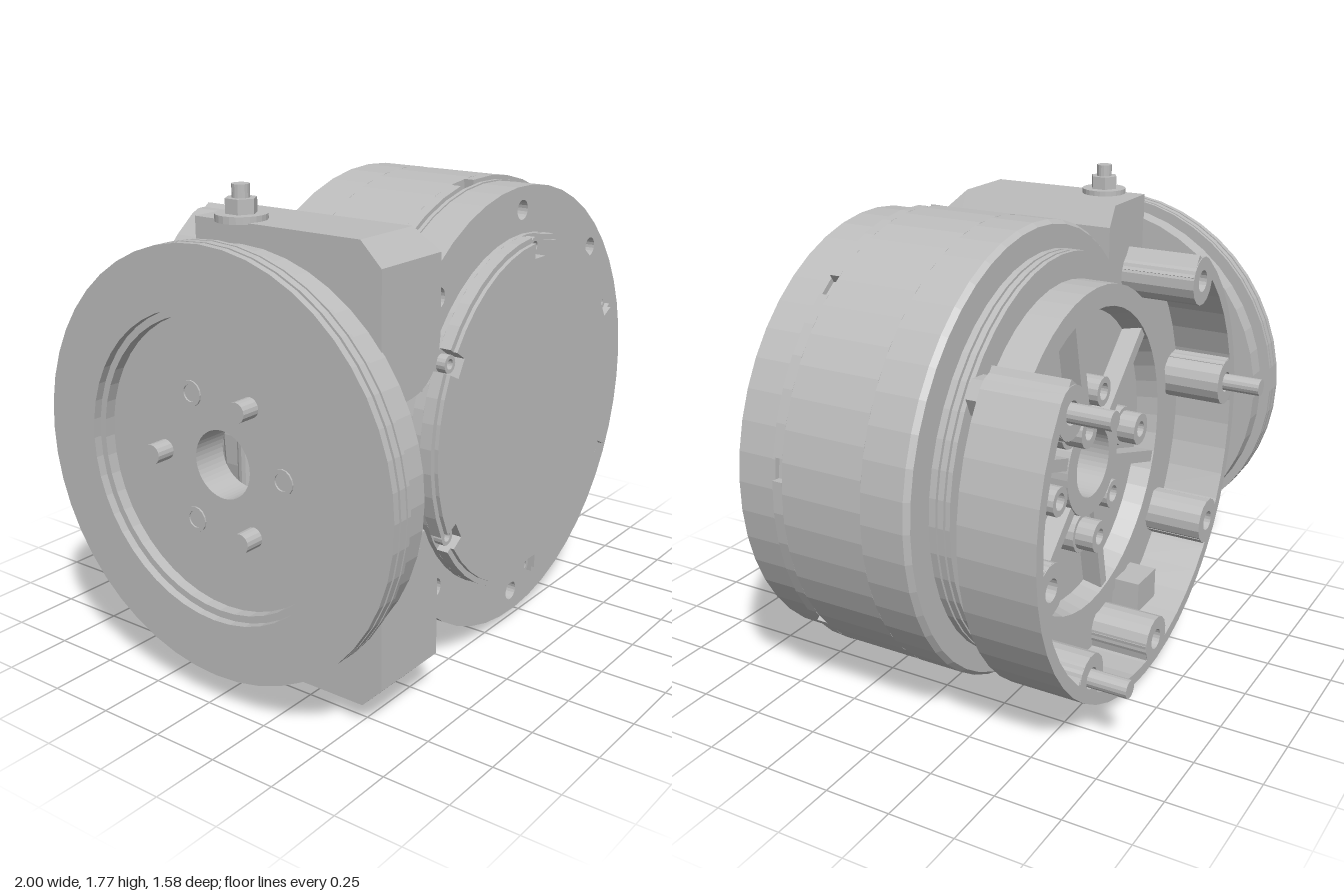
import * as THREE from 'three';

const D = Math.PI / 180;
const steel = new THREE.MeshStandardMaterial({ color: 0xbdbdbd, flatShading: true });
steel.name = 'steel grey';

const polar = (r, deg) => new THREE.Vector2(r * Math.cos(deg * D), r * Math.sin(deg * D));

function add(parent, geo, name) {
  const m = new THREE.Mesh(geo, steel);
  m.name = name;
  parent.add(m);
  return m;
}

// Disc outline with sectors cut down to a smaller radius; cuts are [from, to, radius]
function outline(R, cuts = [], step = 7.5) {
  const pts = [];
  const arc = (r, a, b) => {
    const n = Math.max(1, Math.round((b - a) / step));
    for (let i = 0; i <= n; i++) pts.push(polar(r, a + ((b - a) * i) / n));
  };
  const sorted = [...cuts].sort((p, q) => p[0] - q[0]);
  if (!sorted.length) {
    for (let a = 0; a < 360; a += step) pts.push(polar(R, a));
  }
  sorted.forEach(([a, b, r], i) => {
    arc(r, a, b);
    const next = i + 1 < sorted.length ? sorted[i + 1][0] : sorted[0][0] + 360;
    arc(R, b, next);
  });
  return new THREE.Shape(pts);
}

// Ring sector between two radii
function sector(r0, r1, a, b) {
  const pts = [], n = Math.round((b - a) / 7.5);
  for (let i = 0; i <= n; i++) pts.push(polar(r1, a + ((b - a) * i) / n));
  for (let i = n; i >= 0; i--) pts.push(polar(r0, a + ((b - a) * i) / n));
  return new THREE.Shape(pts);
}

function punch(shape, p, rx, ry = rx, rot = 0) {
  const h = new THREE.Path();
  h.absellipse(p.x, p.y, rx, ry, 0, Math.PI * 2, true, rot);
  shape.holes.push(h);
  return shape;
}

// Extrude a shape from z0 to z1
function slab(shape, z0, z1) {
  const g = new THREE.ExtrudeGeometry(shape, { depth: z1 - z0, bevelEnabled: false, curveSegments: 10 });
  return g.translate(0, 0, z0);
}

// Lathe of [radius, height] pairs
const lathe = (pts) => new THREE.LatheGeometry(pts.map((p) => new THREE.Vector2(p[0], p[1])), 48);

// Cylinder along z from z0 to z1
function rod(r, z0, z1, sides = 16) {
  return new THREE.CylinderGeometry(r, r, z1 - z0, sides).rotateX(Math.PI / 2).translate(0, 0, (z0 + z1) / 2);
}

function tube(ro, ri, z0, z1) {
  return slab(punch(outline(ro, [], 22.5), new THREE.Vector2(), ri), z0, z1);
}

function buildDrum(root) {
  const g = new THREE.Group();
  g.name = 'drum';
  g.position.set(0.15, 0.87, 0);
  root.add(g);
  const gap = [160, 205, 0.655];
  const marks = [8, 53, 98, 143, 233, 278, 323].map((a) => [a - 2.8, a + 2.8, 0.815]);

  add(g, lathe([[0, 0], [0.85, 0], [0.85, 0.165], [0.835, 0.185], [0, 0.185]]).rotateX(-Math.PI / 2), 'drumBack');
  add(g, slab(outline(0.85, [gap]), 0, 0.32), 'drumShell');
  add(g, slab(outline(0.85, [gap, ...marks]), 0.32, 0.36), 'drumNotchedEdge');
  add(g, slab(outline(0.835, [gap]), 0.36, 0.375), 'drumEdge');
  const rim = outline(0.83, [gap]);
  for (let a = 0; a < 360; a += 45) if (a !== 180) punch(rim, polar(0.745, a), 0.036);
  add(g, slab(rim, 0.375, 0.52), 'frontFlange');

  // Pocket floor with slots on the hinge side
  const floor = sector(0.64, 0.84, 160, 205);
  punch(floor, new THREE.Vector2(-0.745, 0.04), 0.058, 0.075);
  punch(floor, polar(0.755, 197.5), 0.058, 0.075, 0.9);
  punch(floor, new THREE.Vector2(-0.72, 0.19), 0.03);
  punch(floor, polar(0.785, 188), 0.035);
  add(g, slab(floor, 0, 0.06), 'pocketFloor');

  // Cover with six notched screws
  const notches = [30, 90, 150, 210, 270, 330];
  const cuts = notches.map((a) => [a - 3.5, a + 3.5, 0.585]);
  add(g, slab(outline(0.66), 0.5, 0.54), 'coverBase');
  add(g, slab(outline(0.66, cuts), 0.54, 0.585), 'cover');
  add(g, slab(outline(0.64, cuts), 0.585, 0.6), 'coverFace');
  for (const a of notches) {
    const p = polar(0.622, a);
    add(g, tube(0.032, 0.018, 0.53, 0.575), 'coverScrew').position.set(p.x, p.y, 0);
  }
  return g;
}

function buildRear(g) {
  // Grooved flange
  add(g, lathe([[0, 0.18], [0.72, 0.18], [0.72, 0.2], [0.75, 0.2], [0.75, 0.225], [0.72, 0.225], [0.72, 0.233],
    [0.75, 0.233], [0.75, 0.255], [0.72, 0.255], [0.72, 0.263], [0.75, 0.263], [0.75, 0.28], [0, 0.28]])
    .rotateX(-Math.PI / 2), 'rearFlange');
  // Hub dish
  add(g, lathe([[0.13, 0.28], [0.65, 0.28], [0.65, 0.42], [0.57, 0.42], [0.55, 0.34], [0.2, 0.34], [0.2, 0.42],
    [0.13, 0.42], [0.13, 0.28]]).rotateX(-Math.PI / 2), 'hubDish');
  for (let i = 0; i < 6; i++) {
    const a = 17 + i * 60, p = polar(0.375, a);
    const rib = add(g, new THREE.BoxGeometry(0.38, 0.045, 0.08), 'hubRib');
    rib.position.set(p.x, p.y, -0.375);
    rib.rotation.z = a * D;
    const q = polar(0.26, 47 + i * 60);
    if (i % 2 === 0) add(g, tube(0.06, 0.03, -0.49, -0.41), 'hubBolt').position.set(q.x, q.y, 0);
    add(g, i % 2 ? tube(0.055, 0.032, -0.42, -0.33) : rod(0.075, -0.42, -0.33), 'hubBoss').position.set(q.x, q.y, 0);
  }
  // Partial outer wall, open at the top
  add(g, slab(sector(0.785, 0.83, 125, 395), -0.64, -0.355), 'rearWall');
  add(g, slab(sector(0.62, 0.83, 125, 395), -0.41, -0.355), 'rearWallFloor');
  for (const a of [35, 125, 170, 215, 260, 305, 350]) {
    const p = polar(0.74, a), bolted = [35, 170, 305].includes(a);
    const lug = new THREE.Group();
    lug.name = 'lug';
    lug.position.set(p.x, p.y, 0);
    lug.rotation.z = a * D;
    g.add(lug);
    add(lug, tube(0.09, 0.04, -0.64, -0.355), 'lugBoss');
    for (const s of [-1, 1]) {
      // Short webs tie the boss to the wall and floor
      add(lug, new THREE.BoxGeometry(0.09, 0.045, 0.28).translate(0.02, s * 0.065, -0.497), 'lugWeb');
    }
    if (bolted) {
      add(lug, rod(0.033, -0.785, -0.35), 'lugStud');
      add(lug, rod(0.07, -0.357, -0.3, 6), 'lugBoltHead');
    }
  }
  add(g, new THREE.BoxGeometry(0.16, 0.12, 0.12).translate(-0.3, -0.63, -0.46), 'wallPad');
}

function buildBrackets(root) {
  for (const s of [1, -1]) {
    const name = s > 0 ? 'upperBracket' : 'lowerBracket';
    const Y = (y) => 0.87 + s * y;
    const sh = new THREE.Shape();
    sh.moveTo(-0.805, Y(0.79));
    sh.lineTo(-0.53, Y(0.79));
    sh.lineTo(-0.485, Y(0.71));
    sh.lineTo(-0.485, Y(0.46));
    sh.quadraticCurveTo(-0.485, Y(0.265), -0.68, Y(0.26));
    sh.quadraticCurveTo(-0.71, Y(0.21), -0.805, Y(0.205));
    sh.closePath();
    add(root, slab(sh, -0.16, 0.52), name);
    // Sloping nose
    const nose = slab(sh, 0.52, 0.6), p = nose.attributes.position;
    for (let i = 0; i < p.count; i++) {
      const d = s * (p.getY(i) - 0.87);
      if (p.getZ(i) > 0.59 && d > 0.71) p.setY(i, Y(0.71));
    }
    add(root, nose, name + 'Nose');
    // Fillet web joining the bracket to the drum
    const web = new THREE.Shape();
    web.moveTo(-0.5, Y(0.6));
    web.quadraticCurveTo(-0.45, Y(0.61), -0.37, Y(0.67));
    web.lineTo(-0.3, Y(0.5));
    web.lineTo(-0.5, Y(0.4));
    add(root, slab(web, -0.12, 0.5), name + 'Fillet');
  }
  // Hinge hardware, as [radius, bottom, top, sides]
  const stack = (list, name) => list.forEach(([r, a, b, n]) =>
    add(root, new THREE.CylinderGeometry(r, r, b - a, n).translate(-0.755, (a + b) / 2, 0), name));
  stack([[0.088, 1.655, 1.68, 24], [0.055, 1.68, 1.73, 6], [0.03, 1.73, 1.775, 16]], 'upperHingeNut');
  stack([[0.085, 0.06, 0.085, 24], [0.048, 0, 0.06, 16]], 'lowerHingeBolt');
  stack([[0.04, 0.64, 1.1, 16]], 'hingePin');
}

function buildSideDisc(root) {
  const g = new THREE.Group();
  g.name = 'sideDisc';
  g.position.set(0, 0.87, 0.04);
  g.rotation.z = Math.PI / 2;
  root.add(g);
  add(g, lathe([[0.12, 0.8], [0.72, 0.8], [0.72, 0.88], [0.525, 0.88], [0.525, 0.915], [0.75, 0.915], [0.75, 0.93],
    [0.71, 0.93], [0.71, 0.938], [0.75, 0.938], [0.75, 0.965], [0.71, 0.965], [0.71, 0.975], [0.75, 0.975],
    [0.75, 1], [0.54, 1], [0.54, 0.97], [0.515, 0.97], [0.515, 0.93], [0.12, 0.93], [0.12, 0.8]]), 'discPlate');
  // Bolts pass through, with heads on the inner face
  for (let i = 0; i < 6; i++) {
    const p = polar(0.26, 180 + i * 60);
    const at = (m) => m.position.set(p.y, 0, p.x);
    if (i % 2 === 0) {
      at(add(g, new THREE.CylinderGeometry(0.035, 0.035, 0.2, 16).translate(0, 0.9, 0), 'discBolt'));
      at(add(g, new THREE.CylinderGeometry(0.058, 0.058, 0.07, 16).translate(0, 0.772, 0), 'discBoltHead'));
    } else {
      at(add(g, tube(0.045, 0.03, 0.925, 0.936).rotateX(-Math.PI / 2), 'discHoleRim'));
    }
  }
}

export function createModel() {
  const root = new THREE.Group();
  root.name = 'wheelHubAssembly';
  const drum = buildDrum(root);
  buildRear(drum);
  buildBrackets(root);
  buildSideDisc(root);
  return root;
}
